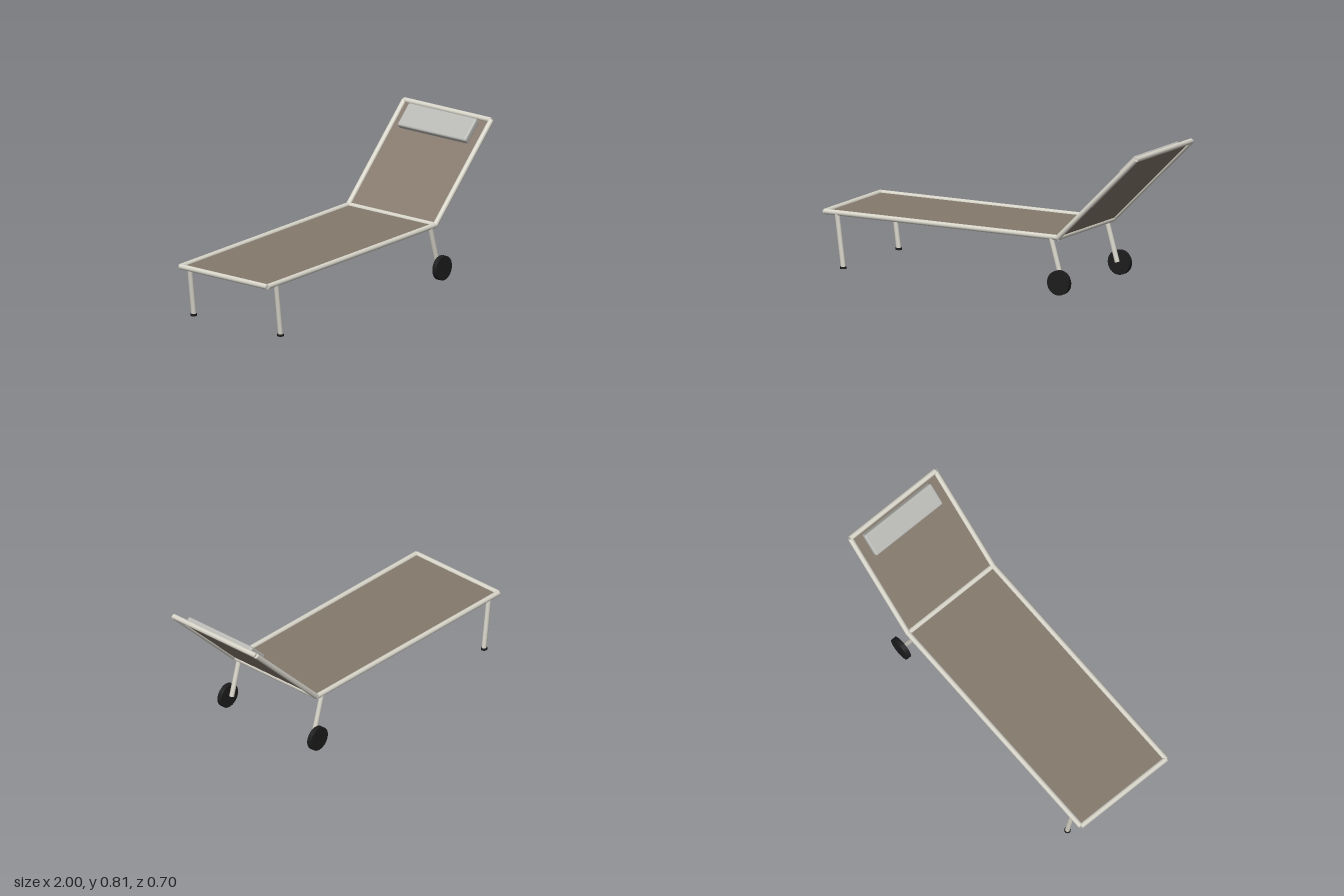
import * as THREE from 'three';
import { RoundedBoxGeometry } from 'three/addons/geometries/RoundedBoxGeometry.js';

const mat = (name, color) => {
  const m = new THREE.MeshStandardMaterial({ color });
  m.name = name;
  return m;
};

export function createModel() {
  const group = new THREE.Group();
  const frame = mat('paleFrame', 0xd6d3c8);
  const fabric = mat('taupeFabric', 0x85796c);
  const cushion = mat('greyCushion', 0xb8b8b4);
  const rubber = mat('blackRubber', 0x1c1c1c);

  const R = 0.015, SIDE = 0.305;
  const foot = [-0.985, 0.314], hinge = [0.49, 0.314], head = [0.983, 0.798];
  const tilt = Math.atan2(head[1] - hinge[1], head[0] - hinge[0]);

  const add = (name, geometry, material) => {
    const mesh = new THREE.Mesh(geometry, material);
    mesh.name = name;
    group.add(mesh);
    return mesh;
  };

  // Round tube between two points
  const tube = (name, a, b, r = R) => {
    const from = new THREE.Vector3(...a), to = new THREE.Vector3(...b);
    const dir = to.clone().sub(from);
    const mesh = add(name, new THREE.CylinderGeometry(r, r, dir.length(), 20), frame);
    mesh.position.copy(from).add(to).multiplyScalar(0.5);
    mesh.quaternion.setFromUnitVectors(new THREE.Vector3(0, 1, 0), dir.normalize());
  };

  // Thin sling stretched between two cross rails
  const sling = (name, a, b) => {
    const length = Math.hypot(b[0] - a[0], b[1] - a[1]);
    const mesh = add(name, new THREE.BoxGeometry(length, 0.004, SIDE * 2 - 0.01), fabric);
    mesh.position.set((a[0] + b[0]) / 2, (a[1] + b[1]) / 2, 0);
    mesh.rotation.z = Math.atan2(b[1] - a[1], b[0] - a[0]);
  };
  sling('seatSling', foot, hinge);
  sling('backSling', hinge, head);

  // Cross rails
  [['footRail', foot], ['hingeRail', hinge], ['headRail', head]].forEach(([name, p]) =>
    tube(name, [...p, -SIDE], [...p, SIDE]));

  // Side rails, legs, feet and wheels on both sides
  for (const s of [-1, 1]) {
    const z = s * SIDE;
    tube('seatSideRail', [...foot, z], [...hinge, z]);
    tube('backSideRail', [...hinge, z], [...head, z]);
    tube('footLeg', [-0.908, 0.314, z], [-0.869, 0.014, z], 0.014);
    tube('wheelLeg', [0.446, 0.314, z], [0.515, 0.074, z], 0.014);

    const pad = add('footPad', new THREE.CylinderGeometry(0.018, 0.018, 0.012, 20), rubber);
    pad.position.set(-0.869, 0.011, z);

    const wheel = add('wheel', new THREE.CylinderGeometry(0.069, 0.069, 0.028, 32), rubber);
    wheel.rotation.x = Math.PI / 2;
    wheel.position.set(0.515, 0.069, s * 0.334);
  }

  // Head cushion, resting on the back sling and slightly sunk through it
  const pillow = add('headCushion', new RoundedBoxGeometry(0.148, 0.04, 0.48, 3, 0.011), cushion);
  pillow.position.set(0.899, 0.742, 0);
  pillow.rotation.z = tilt;

  return group;
}
